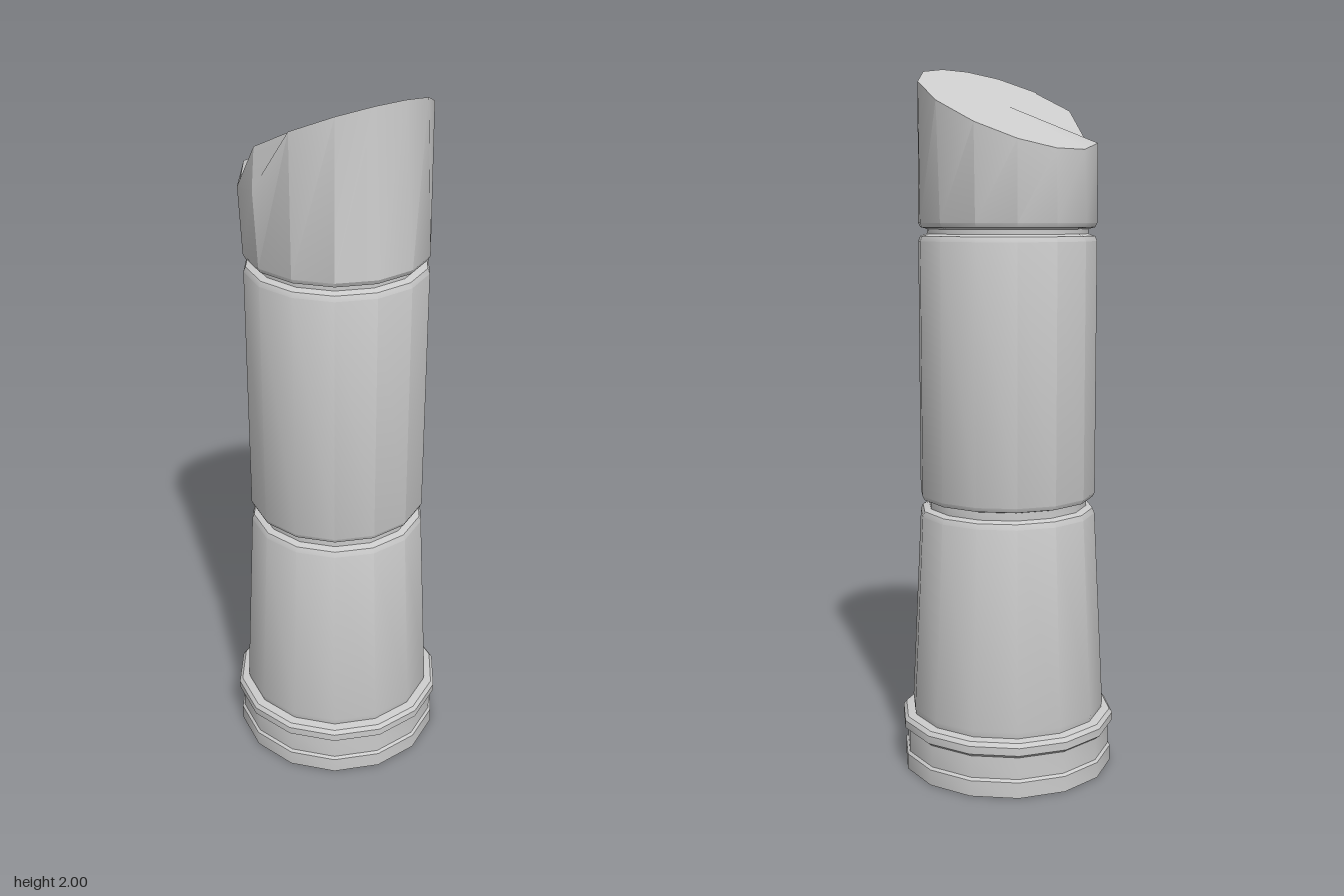
import * as THREE from 'three';
import { toCreasedNormals } from 'three/addons/utils/BufferGeometryUtils.js';

const SIDES = 14;
const CREASE = 0.5;

export function createModel() {
  const group = new THREE.Group();
  const material = new THREE.MeshStandardMaterial({ color: 0xcccccc, side: THREE.DoubleSide });

  const add = (name, geometry) => {
    const mesh = new THREE.Mesh(toCreasedNormals(geometry, CREASE), material);
    mesh.name = name;
    group.add(mesh);
  };

  // Turned parts, with a corner of the polygon on the x axis
  const turned = (name, profile) => add(name, new THREE.LatheGeometry(
    profile.map(([r, y]) => new THREE.Vector2(r, y)), SIDES, Math.PI / 2));

  // Moulded foot, open underneath
  turned('baseMoulding', [
    [0.305, 0], [0.305, 0.045], [0.298, 0.052], [0.298, 0.115],
    [0.311, 0.125], [0.311, 0.147], [0.302, 0.158], [0.278, 0.162],
  ]);

  // Tapered drum, closed below
  turned('lowerDrum', [
    [0, 0.162], [0.278, 0.162], [0.281, 0.18], [0.253, 0.745], [0.247, 0.76], [0.228, 0.766],
  ]);
  turned('lowerJoint', [[0.228, 0.766], [0.228, 0.788]]);

  // Straight drum
  turned('middleDrum', [
    [0.228, 0.788], [0.247, 0.793], [0.253, 0.805], [0.253, 1.52], [0.247, 1.534], [0.228, 1.54],
  ]);
  turned('upperJoint', [[0.228, 1.54], [0.228, 1.553]]);

  // Broken top drum: loops rise from a round foot to a slanted, chipped rim
  const slant = (z) => 1.89 + 0.52 * z;
  const rimRadius = (s) => 0.265 - (s > 0 ? 0.05 : 0.02) * s * s;
  const rimChip = { 7: 1.78, 8: 1.755 };
  const capChip = { 8: 1.775 };
  const ring = (radius, height) => Array.from({ length: SIDES }, (_, i) => {
    const a = (i / SIDES) * Math.PI * 2;
    const r = radius(Math.sin(a));
    const z = r * Math.sin(a);
    return [r * Math.cos(a), height(i, z), z];
  });
  const loops = [
    ring(() => 0.228, () => 1.553),
    ring(() => 0.247, () => 1.558),
    ring(() => 0.253, () => 1.57),
    ring(rimRadius, (i, z) => rimChip[i] ?? slant(z)),
    ring((s) => rimRadius(s) * 0.965, (i, z) => capChip[i] ?? slant(z)),
    ring(() => 0, () => slant(0)),
  ];
  const index = [];
  for (let j = 0; j < loops.length - 1; j++) {
    for (let i = 0; i < SIDES; i++) {
      const n = (i + 1) % SIDES;
      const a = j * SIDES + i, b = j * SIDES + n;
      const c = a + SIDES, d = b + SIDES;
      index.push(a, c, b);
      if (j < loops.length - 2) index.push(b, c, d);
    }
  }
  const top = new THREE.BufferGeometry();
  top.setAttribute('position', new THREE.Float32BufferAttribute(loops.flat(2), 3));
  top.setIndex(index);
  add('brokenTopDrum', top);

  return group;
}
